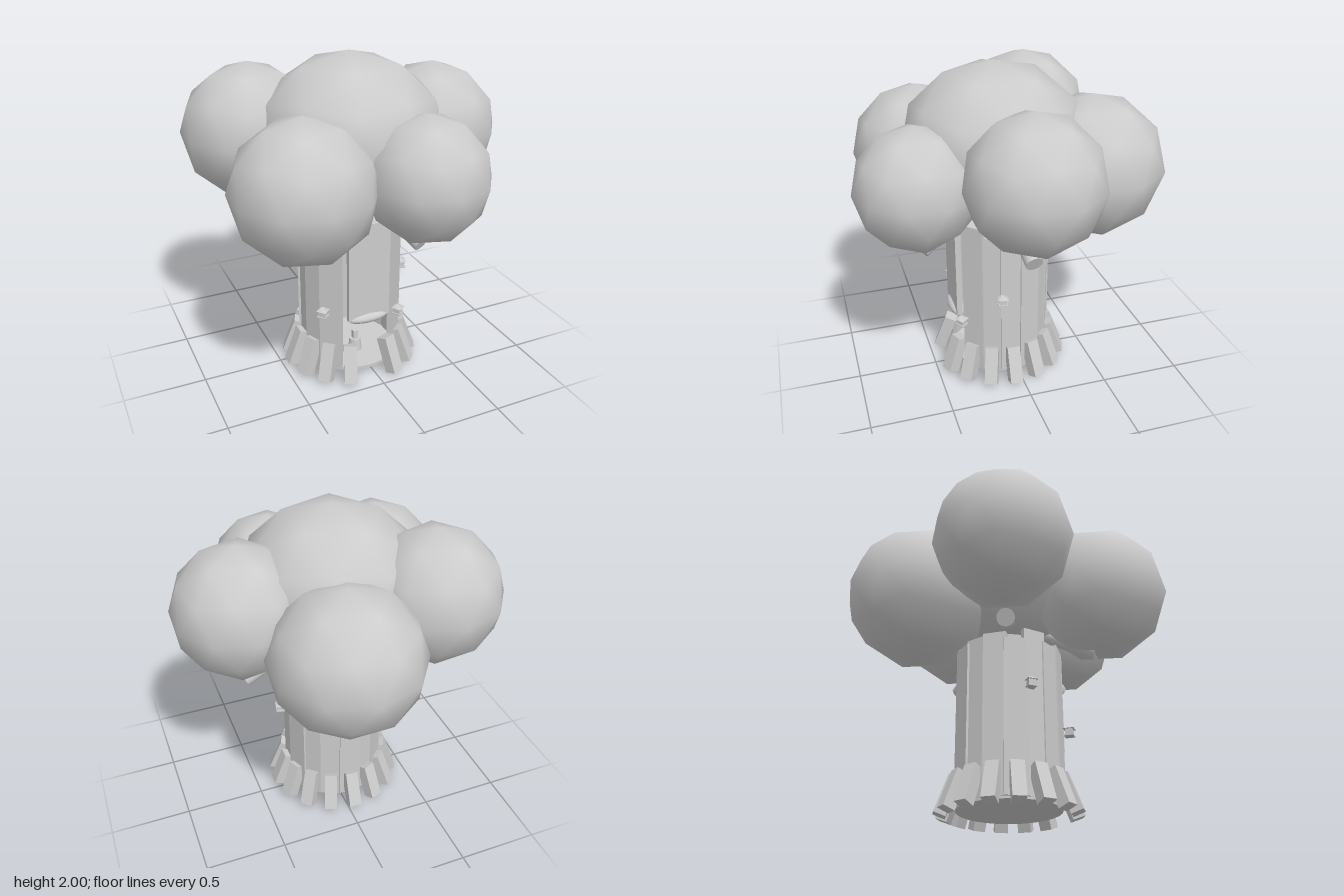
import * as THREE from 'three';

export function createModel() {
  const tree = new THREE.Group();
  tree.name = 'treeHouse';
  const grey = new THREE.MeshStandardMaterial({ color: 0xcccccc });
  grey.name = 'light grey';
  const CX = -0.04, CZ = 0.055; // trunk axis

  const add = (parent, name, geo, x = 0, y = 0, z = 0) => {
    const m = new THREE.Mesh(geo, grey);
    m.name = name;
    m.position.set(x, y, z);
    parent.add(m);
    return m;
  };
  // group whose local +z points away from the trunk axis (angle 0 = front)
  const spoke = (name, angle) => {
    const g = new THREE.Group();
    g.name = name;
    g.position.set(CX, 0, CZ);
    g.rotation.y = angle;
    tree.add(g);
    return g;
  };

  // foliage: smooth-shaded coarse icospheres with a vertex on top
  const leaf = new THREE.IcosahedronGeometry(1, 1);
  leaf.rotateX(-Math.atan((1 + Math.sqrt(5)) / 2));
  leaf.rotateY(-Math.PI / 2);
  [
    ['crownFoliage', -0.04, 1.52, 0.07, 0.56, 0.48],
    ['leftBackFoliage', -0.54, 1.5, -0.27, 0.415, 0.415],
    ['backFoliage', 0.09, 1.35, -0.5, 0.455, 0.44],
    ['rightFoliage', 0.54, 1.47, 0.01, 0.405, 0.405],
    ['frontFoliage', 0.19, 1.37, 0.59, 0.365, 0.37],
    ['leftFrontFoliage', -0.48, 1.355, 0.45, 0.415, 0.415],
  ].forEach(([name, x, y, z, r, ry]) => add(tree, name, leaf, x, y, z).scale.set(r, ry, r));

  // trunk planks, leaving the doorway open at the front
  const N = 16, heights = [1.04, 1.0, 1.07, 1.01, 1.03];
  for (let i = 2; i <= N - 2; i++) {
    const h = heights[i % 5];
    const s = spoke('trunkPlank', (i / N) * Math.PI * 2);
    const r = 0.292 + (i % 3) * 0.005;
    add(s, 'plank', new THREE.BoxGeometry(0.14, h - 0.06, 0.035), 0, (h + 0.06) / 2, r);
  }
  add(tree, 'doorPanel', new THREE.BoxGeometry(0.27, 0.63, 0.035), CX, 0.725, CZ + 0.29);
  add(tree, 'floor', new THREE.CylinderGeometry(0.31, 0.31, 0.02, 32), CX, 0.055, CZ);
  add(tree, 'trunkTop', new THREE.CylinderGeometry(0.28, 0.28, 0.03, 32), CX, 1.025, CZ);

  // flared roots
  for (let i = 1; i < N; i++) {
    const s = spoke('root', (i / N) * Math.PI * 2);
    add(s, 'rootBlock', new THREE.BoxGeometry(0.08, 0.235, 0.075), 0, 0.125, 0.358).rotation.x = -0.36;
  }

  // awning over the door
  add(tree, 'awning', new THREE.SphereGeometry(1, 24, 12), CX, 0.41, CZ + 0.285)
    .scale.set(0.135, 0.035, 0.05);

  // stool and lamp inside
  add(tree, 'stool', new THREE.CylinderGeometry(0.035, 0.045, 0.08, 16), CX, 0.105, CZ + 0.1);
  add(tree, 'lamp', new THREE.BoxGeometry(0.03, 0.055, 0.03), CX, 0.172, CZ + 0.1);

  // branches reaching out from under the crown
  const up = new THREE.Vector3(0, 1, 0);
  [
    [0.55, 0.98, 0.01], [0.18, 0.97, 0.58], [-0.46, 0.97, 0.43],
    [-0.54, 0.99, -0.25], [0.08, 1.02, -0.5],
  ].forEach((p) => {
    const end = new THREE.Vector3(...p);
    const start = new THREE.Vector3(CX, 1.25, CZ).lerp(end, 0.15);
    const dir = end.clone().sub(start);
    const b = add(tree, 'branch', new THREE.CylinderGeometry(0.052, 0.045, dir.length(), 16));
    b.position.copy(start).addScaledVector(dir, 0.5);
    b.quaternion.setFromUnitVectors(up, dir.normalize());
  });

  // little hanging houses around the trunk
  const roof = new THREE.ConeGeometry(0.045, 0.025, 4);
  roof.rotateY(Math.PI / 4);
  [
    [0.3, 0.605, 0.12], [0.165, 0.415, 0.35], [-0.32, 0.485, 0.3], [-0.375, 0.715, 0.01],
  ].forEach(([x, y, z]) => {
    const g = new THREE.Group();
    g.name = 'littleHouse';
    g.position.set(x, y, z);
    g.rotation.y = Math.atan2(x - CX, z - CZ);
    tree.add(g);
    add(g, 'houseBase', new THREE.BoxGeometry(0.056, 0.008, 0.056), 0, -0.026, 0);
    add(g, 'houseBody', new THREE.BoxGeometry(0.042, 0.036, 0.042), 0, -0.004, 0);
    add(g, 'houseRoof', roof, 0, 0.026, 0);
  });

  return tree;
}
